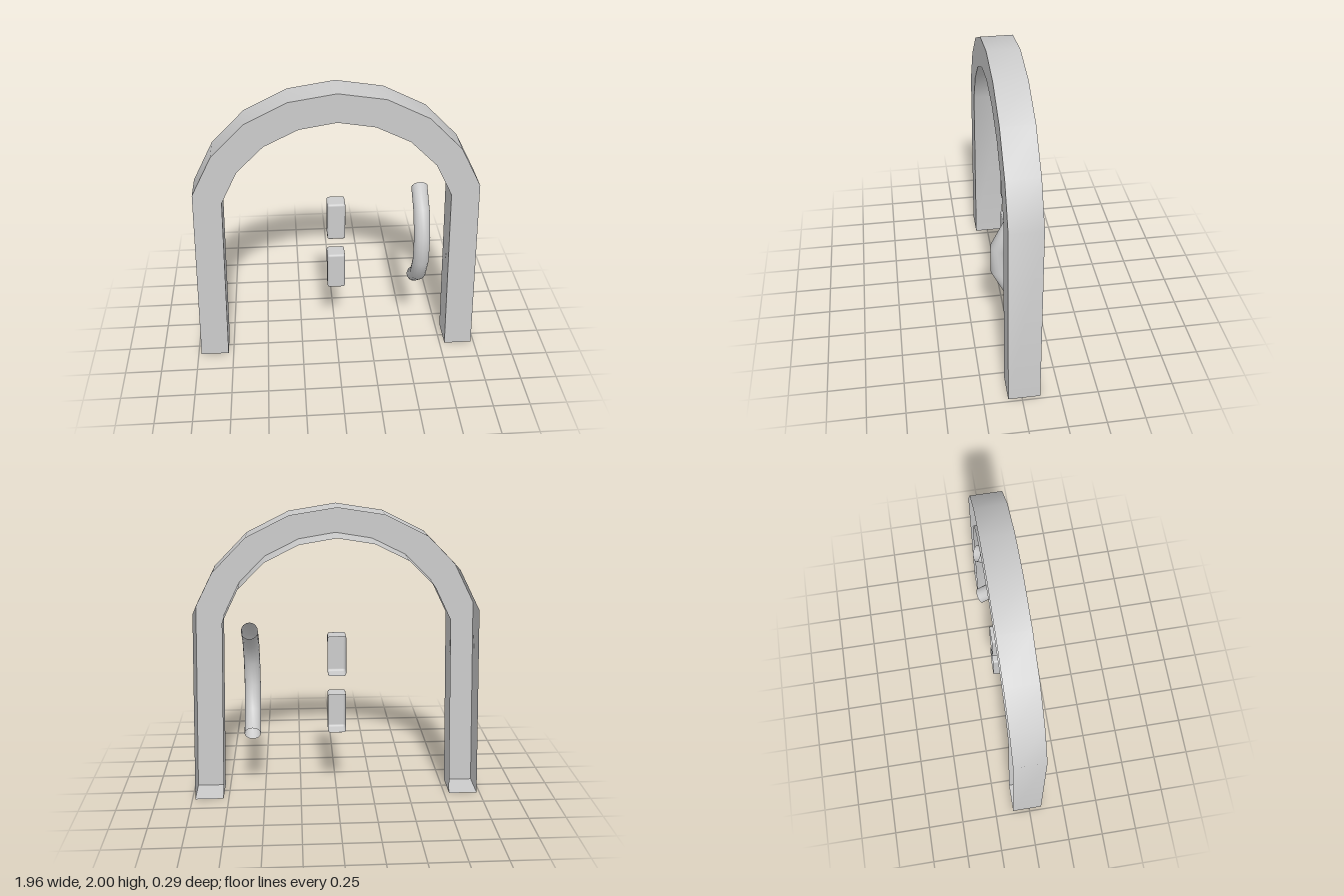
import * as THREE from 'three';
import { toCreasedNormals } from 'three/addons/utils/BufferGeometryUtils.js';
import { RoundedBoxGeometry } from 'three/addons/geometries/RoundedBoxGeometry.js';

const material = new THREE.MeshStandardMaterial({ color: 0xcccccc, side: THREE.DoubleSide });

function addPart(group, name, geometry, x = 0, y = 0, z = 0) {
  const mesh = new THREE.Mesh(geometry, material);
  mesh.name = name;
  mesh.position.set(x, y, z);
  group.add(mesh);
}

// Removes every triangle lying entirely behind zLimit, leaving a shell open at the back.
function openBack(geometry, zLimit) {
  const source = geometry.index ? geometry.toNonIndexed() : geometry;
  const pos = source.attributes.position;
  const kept = [];
  for (let i = 0; i < pos.count; i += 3) {
    const front = Math.max(pos.getZ(i), pos.getZ(i + 1), pos.getZ(i + 2));
    if (front > zLimit) kept.push(i, i + 1, i + 2);
  }
  source.clearGroups();
  source.setIndex(kept);
  return source.toNonIndexed();
}

export function createModel() {
  const model = new THREE.Group();
  model.name = 'archedDoor';

  // Arched frame: half outlines from foot to crown, mirrored, with a hollow open back
  const outer = [[0.98, 0], [0.93, 1.325], [0.793, 1.595], [0.577, 1.815], [0.303, 1.952], [0, 2]];
  const inner = [[0.786, 0], [0.746, 1.262], [0.637, 1.484], [0.462, 1.658], [0.24, 1.768], [0, 1.808]];
  const fullArch = (half) => [
    ...half,
    ...half.slice(0, -1).reverse().map(([x, y]) => [-x, y]),
  ];
  const outline = [...fullArch(outer), ...fullArch(inner).reverse()];
  const shape = new THREE.Shape(outline.map(([x, y]) => new THREE.Vector2(x, y)));
  const frame = new THREE.ExtrudeGeometry(shape, { depth: 0.21, bevelEnabled: false });
  addPart(model, 'archFrame', toCreasedNormals(openBack(frame, 0.001), 0.6), 0, 0, -0.12);

  // Two rounded blocks on the centre line, open at the back
  const depth = 0.12;
  const radius = 0.016;
  for (const [name, y] of [['lowerBlock', 0.615], ['upperBlock', 1.022]]) {
    const block = new RoundedBoxGeometry(0.122, 0.276, depth, 2, radius);
    addPart(model, name, openBack(block, -depth / 2 + radius), 0, y, -0.065);
  }

  // Bowed handle: a five-segment arc of tube with open ends
  const arc = THREE.MathUtils.degToRad(127.5);
  const handle = new THREE.TorusGeometry(0.403, 0.055, 16, 5, arc);
  handle.rotateZ(-arc / 2);
  handle.rotateY(-Math.PI / 2);
  addPart(model, 'handle', handle, 0.57, 0.8475, -0.3);

  return model;
}
